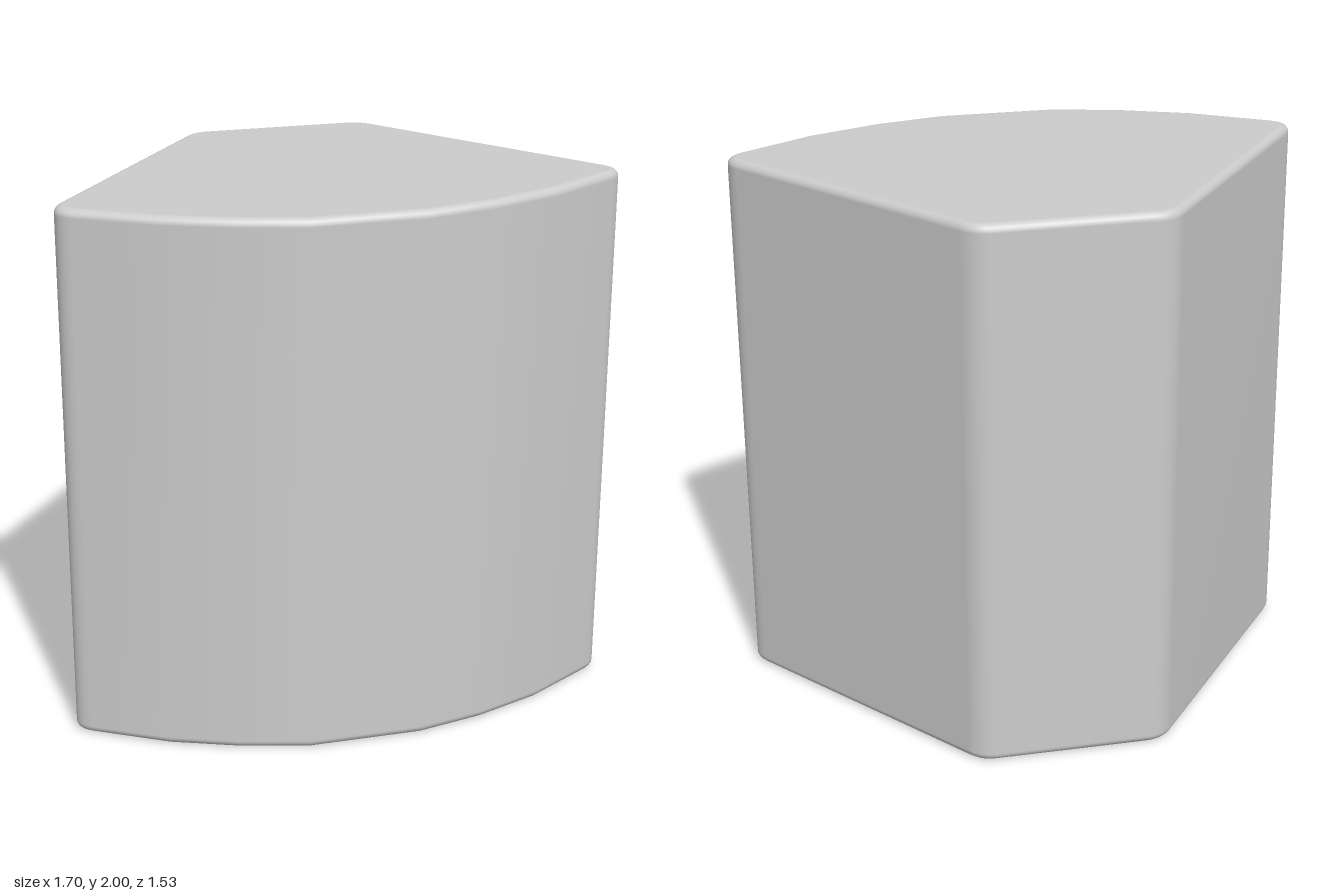
import * as THREE from 'three';

const HEIGHT = 2, BEVEL = 0.03, BEVEL_STEPS = 5;

// Plan outline as (x, z), counterclockwise seen from above.
// Each rounded corner is [start, control, end].
function planOutline() {
  const corners = {
    back: [0.255, -0.745, 0.2, -0.782, 0.14, -0.76],
    left: [-0.79, -0.445, -0.88, -0.415, -0.84, -0.33],
    front: [0.77, 0.757, 0.853, 0.76, 0.845, 0.67],
    right: [0.76, -0.35, 0.753, -0.412, 0.71, -0.44],
  };
  const round = ([a, b, c, d, e, f]) => new THREE.QuadraticBezierCurve(
    new THREE.Vector2(a, b), new THREE.Vector2(c, d), new THREE.Vector2(e, f)).getPoints(7);
  const bow = [[-0.71, -0.06], [-0.56, 0.155], [-0.39, 0.345], [-0.04, 0.58], [0.2, 0.675], [0.46, 0.737]]
    .map(([x, z]) => new THREE.Vector2(x, z));
  return [...round(corners.back), ...round(corners.left), ...bow,
    ...round(corners.front), ...round(corners.right)];
}

// Moves every outline point inward by d along its mitred normal.
function inset(points, d) {
  const n = points.length;
  const edgeNormal = (a, b) => new THREE.Vector2(a.y - b.y, b.x - a.x).normalize();
  return points.map((p, i) => {
    const n0 = edgeNormal(points[(i + n - 1) % n], p);
    const n1 = edgeNormal(p, points[(i + 1) % n]);
    const m = n0.clone().add(n1).normalize();
    return p.clone().addScaledVector(m, -d / m.dot(n1));
  });
}

function bevelledPrism(outline) {
  // Vertical profile as [inset, y], from the bottom cap to the top cap
  const profile = [];
  for (let k = 0; k <= BEVEL_STEPS; k++) {
    const a = (k / BEVEL_STEPS) * Math.PI / 2;
    profile.push([BEVEL * (1 - Math.sin(a)), BEVEL * (1 - Math.cos(a))]);
  }
  profile.push(...profile.map(([d, y]) => [d, HEIGHT - y]).reverse());

  const n = outline.length, pos = [], idx = [];
  for (const [d, y] of profile)
    for (const p of inset(outline, d)) pos.push(p.x, y, p.y);
  const last = (profile.length - 1) * n, bottom = profile.length * n, top = bottom + 1;
  pos.push(0.1, 0, 0, 0.1, HEIGHT, 0);

  for (let i = 0; i < n; i++) {
    const j = (i + 1) % n;
    for (let r = 0; r < last; r += n)
      idx.push(r + i, r + j, r + n + j, r + i, r + n + j, r + n + i);
    idx.push(bottom, j, i, top, last + i, last + j);
  }
  const geo = new THREE.BufferGeometry();
  geo.setAttribute('position', new THREE.Float32BufferAttribute(pos, 3));
  geo.setIndex(idx);
  geo.computeVertexNormals();
  return geo;
}

export function createModel() {
  const group = new THREE.Group();
  group.name = 'roundedBlock';
  const block = new THREE.Mesh(bevelledPrism(planOutline()),
    new THREE.MeshStandardMaterial({ color: 0xcccccc }));
  block.name = 'block';
  group.add(block);
  return group;
}
